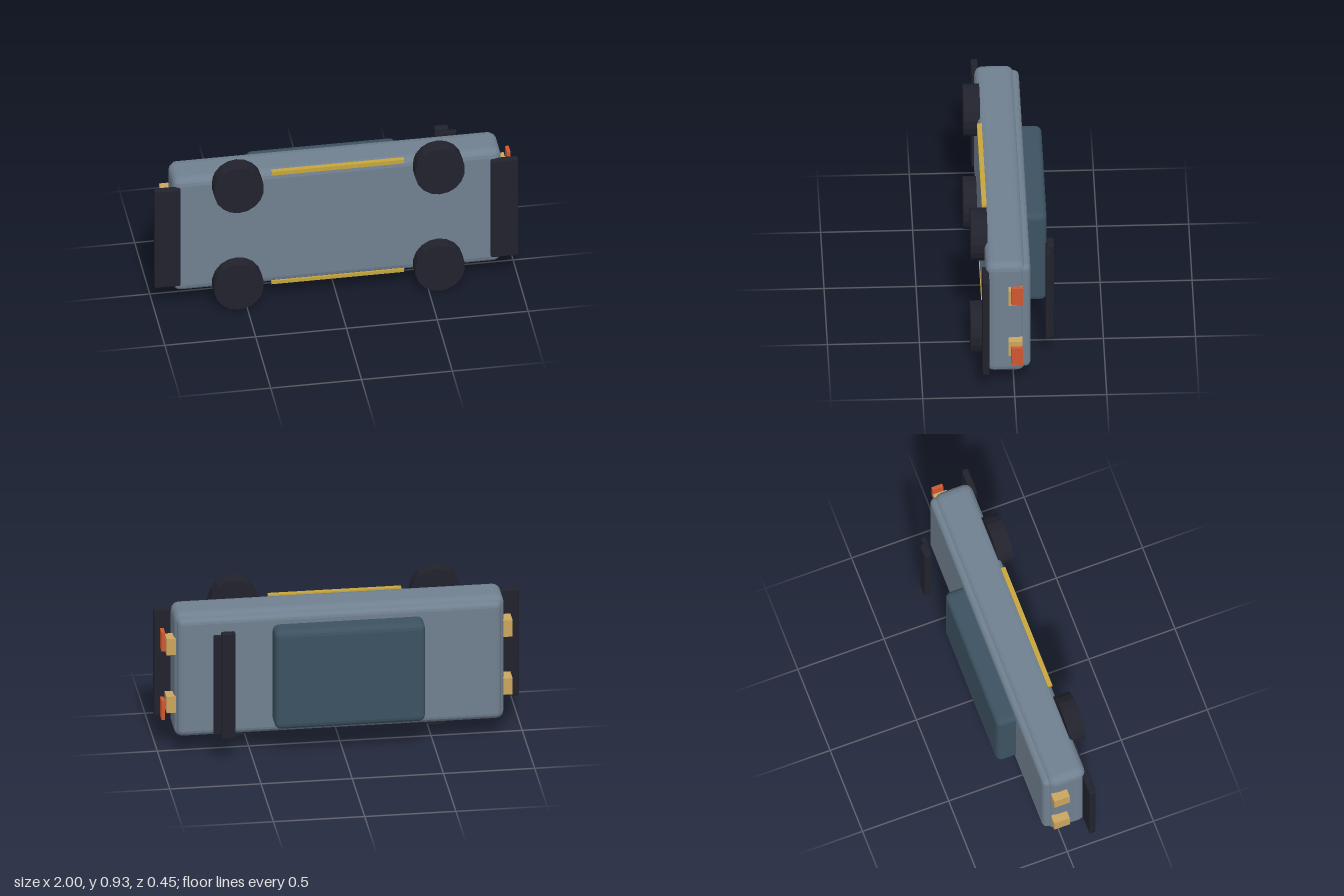
import * as THREE from 'three';
import { RoundedBoxGeometry } from 'three/addons/geometries/RoundedBoxGeometry.js';

const paint = (name, color) => {
  const material = new THREE.MeshStandardMaterial({ color });
  material.name = name;
  return material;
};

export function createModel() {
  const car = new THREE.Group();
  car.name = 'car';

  const slate = paint('slate paint', 0x708090);
  const glass = paint('dark teal glass', 0x3c5261);
  const black = paint('black rubber', 0x22222d);
  const tan = paint('tan lamp', 0xcba55e);
  const orange = paint('orange lamp', 0xcf5731);
  const yellow = paint('yellow trim', 0xc6a63c);

  const add = (name, geometry, material) => {
    const mesh = new THREE.Mesh(geometry, material);
    mesh.name = name;
    car.add(mesh);
    return mesh;
  };

  // Faceted box given by its limits on each axis, with bevelled edges
  const block = (name, material, [x0, x1], [y0, y1], [z0, z1], radius, segments = 1) => {
    const size = [x1 - x0, y1 - y0, z1 - z0];
    const geometry = radius
      ? new RoundedBoxGeometry(...size, segments, radius)
      : new THREE.BoxGeometry(...size);
    if (radius) geometry.computeVertexNormals();
    const mesh = add(name, geometry, material);
    mesh.position.set((x0 + x1) / 2, (y0 + y1) / 2, (z0 + z1) / 2);
    return mesh;
  };

  // The car lies on its side: underside towards +z, roof towards -z
  block('body', slate, [-0.895, 0.912], [0.096, 0.832], [-0.062, 0.153], 0.045, 2);
  block('upperDeck', slate, [-0.875, 0.9], [0.118, 0.81], [-0.09, 0.08], 0.03, 2);
  block('cabin', glass, [-0.445, 0.38], [0.17, 0.757], [-0.197, 0], 0.035, 2);

  // Wheels, slightly narrower along the car
  for (const x of [-0.546, 0.56]) {
    for (const y of [0.147, 0.781]) {
      const geometry = new THREE.CylinderGeometry(0.147, 0.147, 0.09, 18).toNonIndexed();
      geometry.rotateX(Math.PI / 2);
      geometry.scale(0.935, 1, 1);
      geometry.computeVertexNormals();
      add('wheel', geometry, black).position.set(x, y, 0.181);
    }
  }

  // Bumper plates at both ends
  block('noseBumper', black, [-1, -0.857], [0.147, 0.785], [0.13, 0.168], 0.009);
  block('tailBumper', black, [0.85, 1], [0.147, 0.783], [0.137, 0.174], 0.009);

  // Trim strips along the sills
  block('sillStrip', yellow, [-0.355, 0.375], [0.097, 0.118], [0.13, 0.156]);
  block('sillStrip', yellow, [-0.355, 0.375], [0.811, 0.835], [0.13, 0.156]);

  // Lamps, mirrored across the width
  const middle = 0.464;
  for (const side of [-1, 1]) {
    const span = (a, b) => [middle + side * a, middle + side * b].sort((p, q) => p - q);
    block('headLamp', tan, [-0.94, -0.89], span(0.124, 0.221), [-0.053, 0.037]);
    block('tailLamp', tan, [0.905, 0.955], span(0.124, 0.221), [-0.044, 0.032]);
    block('brakeLamp', orange, [0.963, 0.983], span(0.148, 0.261), [-0.044, 0.018]);
  }

  // Spoiler blade with a lower ledge behind it
  block('spoilerBlade', black, [0.6, 0.677], [0.147, 0.78], [-0.226, -0.187], 0.009);
  block('spoilerLedge', black, [0.62, 0.718], [0.17, 0.757], [-0.204, -0.18], 0.004);

  return car;
}
